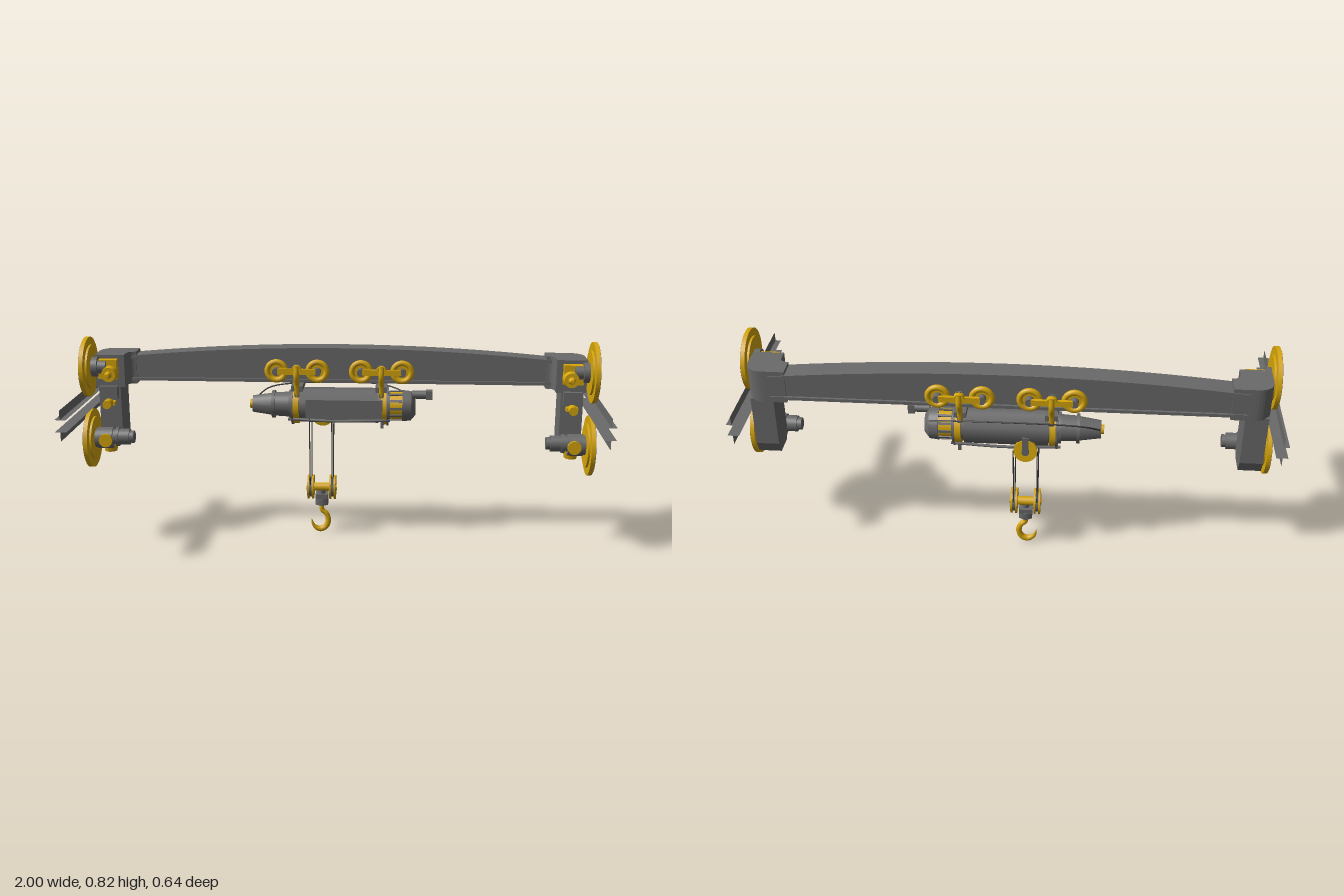
import * as THREE from 'three';

const grey = new THREE.MeshStandardMaterial({ color: 0x6a6a6a, side: THREE.DoubleSide });
grey.name = 'steel grey';
const yellow = new THREE.MeshStandardMaterial({ color: 0xd6a60c });
yellow.name = 'safety yellow';
const dark = new THREE.MeshStandardMaterial({ color: 0x3a3a3c });
dark.name = 'rope dark grey';

const V = (x, y, z) => new THREE.Vector3(x, y, z);
const ZC = -0.17; // centre line of the girder and hoist

function add(parent, name, geo, mat, x = 0, y = 0, z = 0) {
  const m = new THREE.Mesh(geo, mat);
  m.name = name;
  m.position.set(x, y, z);
  parent.add(m);
  return m;
}
const box = (p, name, mat, w, h, d, x, y, z) => add(p, name, new THREE.BoxGeometry(w, h, d), mat, x, y, z);

// Cylinder or cone along a chosen axis; r2 is the radius at the positive end
function cyl(p, name, mat, axis, r, len, x, y, z, r2 = r, seg = 32) {
  const g = new THREE.CylinderGeometry(r2, r, len, seg);
  if (axis === 'x') g.rotateZ(-Math.PI / 2);
  if (axis === 'z') g.rotateX(Math.PI / 2);
  return add(p, name, g, mat, x, y, z);
}

// Tube through points, with a radius rule along its length
function tube(p, name, mat, pts, radius, n = 24, sides = 8) {
  const curve = new THREE.CatmullRomCurve3(pts);
  const g = new THREE.TubeGeometry(curve, n, 1, sides);
  const pos = g.attributes.position, v = V(0, 0, 0);
  for (let i = 0; i <= n; i++) {
    const c = curve.getPointAt(i / n);
    for (let j = 0; j <= sides; j++) {
      const k = i * (sides + 1) + j;
      v.fromBufferAttribute(pos, k).sub(c).multiplyScalar(radius(i / n)).add(c);
      pos.setXYZ(k, v.x, v.y, v.z);
    }
  }
  return add(p, name, g, mat);
}

// Plan outline in x and z, raised between two heights
function plan(p, name, mat, shape, y0, y1) {
  const g = new THREE.ExtrudeGeometry(shape, { depth: y1 - y0, bevelEnabled: false, curveSegments: 10 });
  g.rotateX(Math.PI / 2);
  return add(p, name, g, mat, 0, y1, 0);
}

// Arched strip in x and y, extruded across z
function archStrip(p, name, topFn, botFn, width) {
  const s = new THREE.Shape(), n = 24, L = 0.86;
  for (let i = 0; i <= n; i++) {
    const x = -L + (2 * L * i) / n;
    i ? s.lineTo(x, botFn(x)) : s.moveTo(x, botFn(x));
  }
  for (let i = n; i >= 0; i--) {
    const x = -L + (2 * L * i) / n;
    s.lineTo(x, topFn(x));
  }
  const g = new THREE.ExtrudeGeometry(s, { depth: width, bevelEnabled: false });
  return add(p, name, g, grey, 0, 0, ZC - width / 2);
}

function buildGirder(root) {
  const g = new THREE.Group();
  g.name = 'girder';
  const top = x => 0.771 - 0.04 * Math.pow(Math.abs(x) / 0.83, 2);
  archStrip(g, 'girderWeb', x => top(x) - 0.006, () => 0.637, 0.066);
  archStrip(g, 'topFlange', top, x => top(x) - 0.012, 0.084);
  archStrip(g, 'bottomFlange', () => 0.645, () => 0.633, 0.084);
  root.add(g);
}

// Rail of inverted T section, up = 1 for the upper one
function buildRail(p, s, yFlange, up) {
  const flange = new THREE.PlaneGeometry(0.042, 0.64).rotateX(-Math.PI / 2);
  const web = new THREE.PlaneGeometry(0.64, 0.035).rotateY(Math.PI / 2);
  add(p, 'railFlange', flange, grey, s * 0.979, yFlange, 0);
  add(p, 'railWeb', web, grey, s * 0.98, yFlange + up * 0.0175, 0);
}

function buildWheel(p, s, y) {
  const z = -0.042;
  cyl(p, 'wheelRim', yellow, 'x', 0.115, 0.016, s * 0.966, y, z, 0.115, 48);
  cyl(p, 'wheelOuterFace', grey, 'x', 0.111, 0.004, s * 0.974, y, z, 0.111, 48);
  cyl(p, 'wheelInnerStep', yellow, 'x', 0.085, 0.01, s * 0.955, y, z, 0.085, 40);
  cyl(p, 'wheelHub', grey, 'x', 0.038, 0.03, s * 0.942, y, z);
}

function buildEnd(root, s) {
  const g = new THREE.Group();
  g.name = s > 0 ? 'leftEndCarriage' : 'rightEndCarriage';
  // Curved head that turns the girder forwards
  const head = new THREE.Shape();
  head.moveTo(s * 0.8, -0.208);
  head.lineTo(s * 0.88, -0.208);
  head.quadraticCurveTo(s * 0.947, -0.208, s * 0.947, -0.14);
  head.lineTo(s * 0.947, -0.065);
  head.lineTo(s * 0.832, -0.065);
  head.lineTo(s * 0.832, -0.105);
  head.quadraticCurveTo(s * 0.832, -0.132, s * 0.8, -0.132);
  plan(g, 'endHead', grey, head, 0.62, 0.738);
  plan(g, 'endHeadCap', grey, head, 0.738, 0.747).scale.set(1, 1, 1);
  // Lower column with a chamfered foot, profile in z and y
  const leg = new THREE.Shape();
  [[-0.075, 0.625], [-0.075, 0.41], [-0.1, 0.385], [-0.178, 0.385], [-0.198, 0.43], [-0.198, 0.625]]
    .forEach(([z, y], i) => (i ? leg.lineTo(-z, y) : leg.moveTo(-z, y)));
  const legGeo = new THREE.ExtrudeGeometry(leg, { depth: 0.085, bevelEnabled: false });
  legGeo.rotateY(Math.PI / 2);
  add(g, 'endColumn', legGeo, grey, s * 0.896 - 0.0425, 0, 0);
  buildWheel(g, s, 0.705);
  buildWheel(g, s, 0.42);
  // Upper axle bracket
  box(g, 'axleBracket', yellow, 0.075, 0.075, 0.035, s * 0.893, 0.695, -0.052);
  cyl(g, 'axleSleeve', grey, 'x', 0.026, 0.06, s * 0.925, 0.705, -0.042);
  cyl(g, 'axleCap', yellow, 'z', 0.032, 0.035, s * 0.882, 0.68, -0.025, 0.028);
  cyl(g, 'axleCapNose', yellow, 'z', 0.014, 0.02, s * 0.882, 0.68, 0.002, 0.007);
  // Guide roller between the rails
  box(g, 'guideArm', yellow, 0.045, 0.014, 0.11, s * 0.895, 0.557, -0.1);
  cyl(g, 'guideRoller', yellow, 'z', 0.017, 0.045, s * 0.895, 0.561, -0.031);
  box(g, 'guideBlock', grey, 0.07, 0.05, 0.03, s * 0.896, 0.6, -0.062);
  // Drive motor on the lower wheel axle
  cyl(g, 'gearbox', grey, 'x', 0.042, 0.06, s * 0.912, 0.42, -0.045);
  cyl(g, 'driveMotor', grey, 'x', 0.031, 0.065, s * 0.85, 0.425, -0.045);
  cyl(g, 'motorCollar', grey, 'x', 0.037, 0.012, s * 0.865, 0.425, -0.045);
  cyl(g, 'motorEnd', grey, 'x', 0.024, 0.018, s * 0.81, 0.425, -0.045);
  cyl(g, 'gearboxFoot', yellow, 'y', 0.024, 0.028, s * 0.9, 0.378, -0.06, 0.03, 12);
  cyl(g, 'gearboxCover', yellow, 'z', 0.026, 0.012, s * 0.905, 0.42, -0.002);
  buildRail(g, s, 0.585, 1);
  buildRail(g, s, 0.54, -1);
  root.add(g);
}

// Trolley running on the girder, wheels on both faces
function buildTrolley(root, cx) {
  const g = new THREE.Group();
  g.name = 'trolley';
  for (const f of [-1, 1]) {
    const z = d => ZC + f * d;
    for (const e of [-1, 1]) {
      const x = cx + e * 0.08;
      add(g, 'trolleyWheel', new THREE.TorusGeometry(0.036, 0.011, 10, 28), yellow, x, 0.68, z(0.05));
      cyl(g, 'trolleyWheelDisc', yellow, 'z', 0.034, 0.014, x, 0.68, z(0.042));
      cyl(g, 'trolleyWheelHub', grey, 'z', 0.015, 0.03, x, 0.68, z(0.06));
    }
    box(g, 'trolleyLink', yellow, 0.15, 0.022, 0.012, cx, 0.682, z(0.071));
    cyl(g, 'trolleyPin', yellow, 'z', 0.02, 0.024, cx, 0.688, z(0.073));
    // Hanger strap curving down to the hoist
    tube(g, 'hangerStrap', yellow, [V(cx, 0.705, z(0.08)), V(cx, 0.665, z(0.084)),
      V(cx, 0.63, z(0.065)), V(cx, 0.58, z(0.055))], () => 0.011, 16);
    box(g, 'hangerPlate', grey, 0.018, 0.13, 0.008, cx, 0.645, z(0.062));
  }
  box(g, 'hangerBridge', grey, 0.045, 0.022, 0.13, cx, 0.612, ZC);
  root.add(g);
}

function buildHoist(root) {
  const g = new THREE.Group();
  g.name = 'hoist';
  const y = 0.535;
  cyl(g, 'drum', grey, 'x', 0.058, 0.4, 0, y, ZC);
  cyl(g, 'drumHousing', grey, 'x', 0.07, 0.31, 0.0, y, ZC, 0.07, 8).rotation.x = Math.PI / 8;
  for (const x of [-0.17, 0.175]) {
    cyl(g, 'drumEndRing', yellow, 'x', 0.075, 0.022, x, y, ZC);
    cyl(g, 'drumEndPlate', grey, 'x', 0.079, 0.008, x + Math.sign(x) * 0.015, y, ZC);
  }
  // Ribbed yellow gear section
  cyl(g, 'gearSection', yellow, 'x', 0.056, 0.055, 0.222, y, ZC);
  for (let i = 0; i < 12; i++) {
    const a = (i / 12) * Math.PI * 2;
    const rib = box(g, 'gearRib', grey, 0.05, 0.009, 0.009, 0.222, y + 0.056 * Math.sin(a), ZC + 0.056 * Math.cos(a));
    rib.rotation.x = -a;
  }
  cyl(g, 'gearCover', grey, 'x', 0.062, 0.035, 0.265, y, ZC, 0.058);
  cyl(g, 'gearCoverEnd', grey, 'x', 0.058, 0.018, 0.291, y, ZC, 0.036);
  cyl(g, 'brakeMotor', grey, 'x', 0.016, 0.08, 0.325, 0.585, ZC + 0.02);
  box(g, 'brakeBox', grey, 0.025, 0.034, 0.034, 0.352, 0.585, ZC + 0.02);
  // Hoist motor
  cyl(g, 'motorBody', grey, 'x', 0.046, 0.07, -0.23, y, ZC, 0.05);
  cyl(g, 'motorFlange', grey, 'x', 0.055, 0.012, -0.262, y, ZC);
  cyl(g, 'motorRear', grey, 'x', 0.034, 0.08, -0.305, y, ZC, 0.046, 8);
  cyl(g, 'motorTail', yellow, 'x', 0.018, 0.012, -0.35, y, ZC);
  box(g, 'controlBox', grey, 0.3, 0.075, 0.016, 0.02, 0.535, ZC + 0.074);
  for (const f of [-1, 1]) {
    tube(g, 'sideTieRod', grey, [V(-0.2, 0.49, ZC + f * 0.06), V(0, 0.485, ZC + f * 0.066),
      V(0.2, 0.49, ZC + f * 0.06)], () => 0.006, 12, 6);
    box(g, 'tieBracket', grey, 0.012, 0.04, 0.012, 0.17, 0.475, ZC + f * 0.05);
  }
  tube(g, 'powerCable', dark, [V(-0.34, 0.55, -0.2), V(-0.29, 0.585, -0.24), V(-0.2, 0.6, -0.255),
    V(0.17, 0.6, -0.255), V(0.28, 0.57, -0.215)], () => 0.003, 30, 6);
  // Return pulley at the back
  const p = cyl(g, 'returnPulley', yellow, 'z', 0.043, 0.014, -0.073, 0.473, -0.238);
  p.rotation.x = 0.15;
  cyl(g, 'returnPulleyPin', grey, 'z', 0.014, 0.03, -0.073, 0.473, -0.238);
  box(g, 'returnPulleyBracket', grey, 0.024, 0.07, 0.006, -0.073, 0.5, -0.25);
  root.add(g);
}

function buildHookBlock(root) {
  const g = new THREE.Group();
  g.name = 'hookBlock';
  const z = -0.166, y = 0.193;
  for (const x of [-0.116, -0.028]) {
    for (const e of [-1, 1]) {
      cyl(g, 'sheaveCheek', yellow, 'x', 0.049, 0.007, x + e * 0.009, y, z, 0.049, 36);
      cyl(g, 'sheaveBoss', yellow, 'x', 0.013, 0.008, x + e * 0.013, y, z);
      box(g, 'sheaveSeam', grey, 0.002, 0.003, 0.096, x + e * 0.013, y, z);
    }
    cyl(g, 'sheaveCore', grey, 'x', 0.04, 0.012, x, y, z);
    // Ropes to the drum in front and the pulley behind
    for (const [z0, z1, y1] of [[-0.126, -0.103, 0.5], [-0.204, -0.24, 0.473]])
      tube(g, 'rope', dark, [V(x, y + 0.02, z0), V(x, y1, z1)], () => 0.0022, 1, 6);
  }
  cyl(g, 'crossbar', yellow, 'x', 0.017, 0.08, -0.072, y, z);
  box(g, 'swivelYoke', grey, 0.05, 0.018, 0.05, -0.072, 0.158, z);
  cyl(g, 'swivelNut', grey, 'y', 0.029, 0.028, -0.072, 0.134, z, 0.029, 6);
  cyl(g, 'swivelCollar', grey, 'y', 0.014, 0.05, -0.072, 0.165, z);
  // Tapered hook
  const pts = [[-0.072, 0.13], [-0.071, 0.095], [-0.055, 0.08], [-0.046, 0.052], [-0.058, 0.022],
    [-0.082, 0.013], [-0.105, 0.026], [-0.115, 0.056]].map(([x, yy]) => V(x, yy, z));
  tube(g, 'hook', yellow, pts, t => (t > 0.7 ? 0.0125 - (t - 0.7) * 0.038 : 0.009 + 0.005 * t), 40, 12);
  root.add(g);
}

export function createModel() {
  const root = new THREE.Group();
  root.name = 'overheadCrane';
  buildGirder(root);
  for (const s of [-1, 1]) buildEnd(root, s);
  for (const x of [-0.165, 0.165]) buildTrolley(root, x);
  buildHoist(root);
  buildHookBlock(root);
  return root;
}
